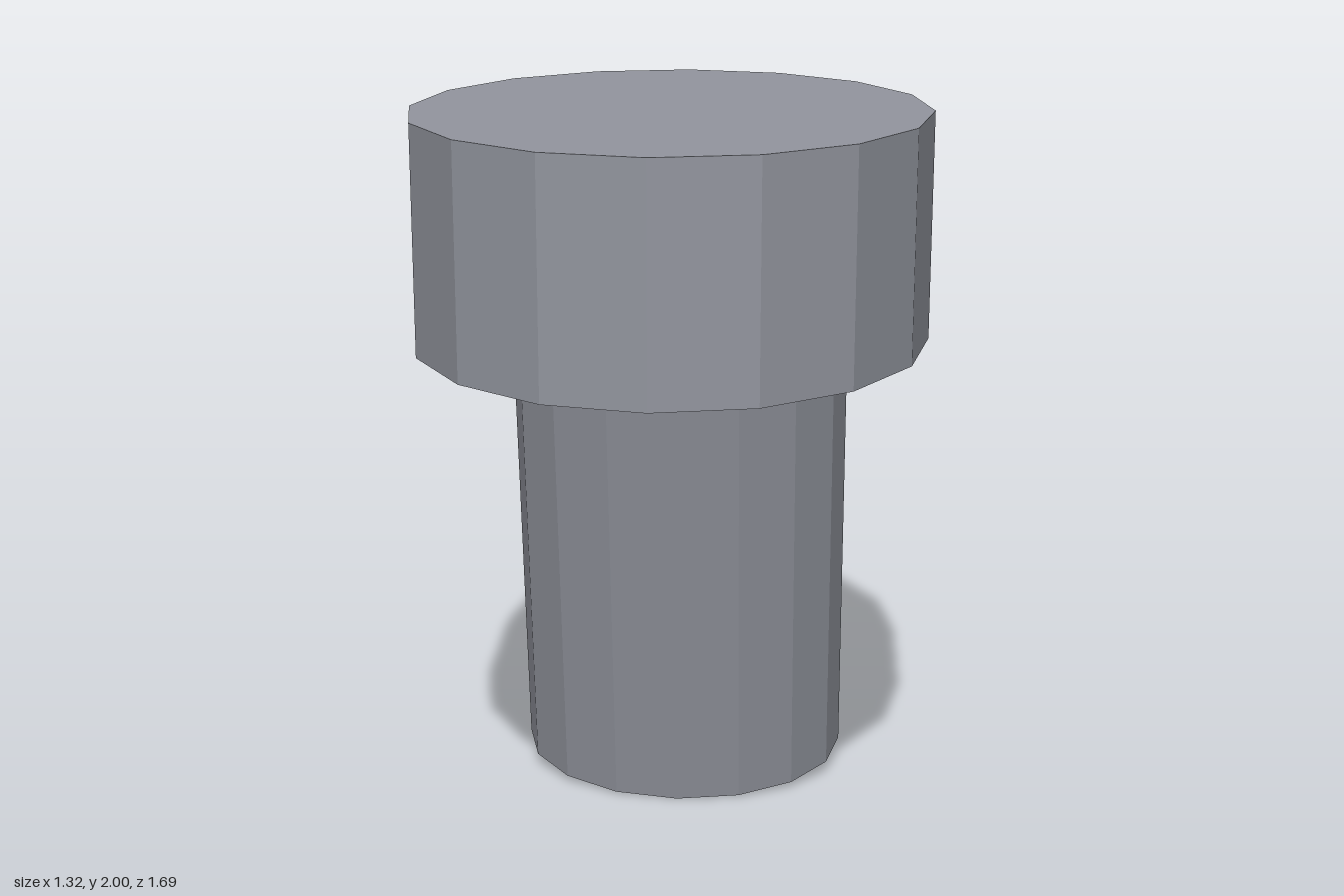
import * as THREE from 'three';

const SIDES = 16;

// Faceted elliptical cylinder centred on its own middle
function ellipticCylinder(name, rx, rz, height, material) {
  const geometry = new THREE.CylinderGeometry(1, 1, height, SIDES);
  geometry.scale(rx, 1, rz);
  const mesh = new THREE.Mesh(geometry, material);
  mesh.name = name;
  return mesh;
}

export function createModel() {
  const group = new THREE.Group();
  group.name = 'tiltedPost';
  const grey = new THREE.MeshStandardMaterial({ color: 0x93969f, flatShading: true });
  grey.name = 'grey';

  // Upright oval head
  const head = ellipticCylinder('head', 0.66, 0.775, 0.58, grey);
  head.position.set(0, 1.71, 0.075);

  // Leaning oval shaft, its top tucked into the head
  const shaft = ellipticCylinder('shaft', 0.457, 0.336, 1.378, grey);
  shaft.position.set(0, 0.74, -0.389);
  shaft.rotation.x = THREE.MathUtils.degToRad(10.5);

  group.add(head, shaft);
  return group;
}
